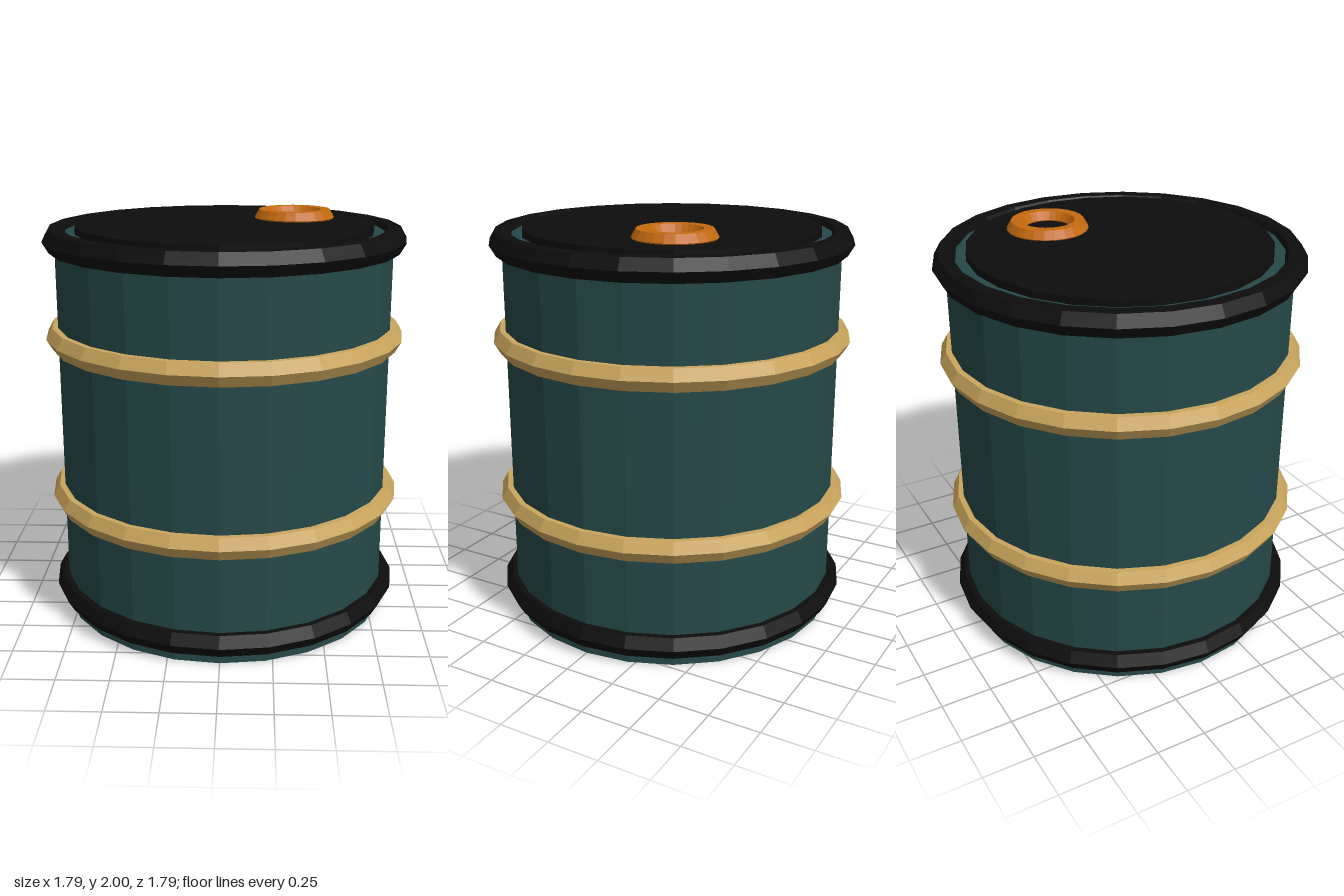
import * as THREE from 'three';

const material = (name, color) => {
  const m = new THREE.MeshStandardMaterial({ color });
  m.name = name;
  return m;
};

// Faceted geometry: one normal per face
const flat = (geometry) => {
  const g = geometry.toNonIndexed();
  g.computeVertexNormals();
  return g;
};

export function createModel() {
  const teal = material('teal paint', 0x264949);
  const black = material('black', 0x0d0d0d);
  const gold = material('gold', 0xc9a45c);
  const orange = material('orange', 0xc56a0e);

  const SIDES = 24;
  const RADIUS = 0.835;
  const group = new THREE.Group();
  group.name = 'barrel';

  const add = (name, geometry, mat, x, y, z) => {
    const mesh = new THREE.Mesh(flat(geometry), mat);
    mesh.name = name;
    mesh.position.set(x, y, z);
    group.add(mesh);
  };

  // Horizontal ring with a hexagonal cross-section
  const ring = (radius, tube) =>
    new THREE.TorusGeometry(radius, tube, 6, SIDES).rotateX(-Math.PI / 2);

  // Drum body and raised lid
  add('body', new THREE.CylinderGeometry(RADIUS, RADIUS, 1.92, SIDES), teal, 0, 0.96, 0);
  add('lid', new THREE.CylinderGeometry(0.735, 0.735, 0.045, SIDES), black, 0, 1.9325, 0);

  // Black end rims and gold hoops
  add('bottomRim', ring(RADIUS - 0.003, 0.063), black, 0, 0.105, 0);
  add('lowerHoop', ring(RADIUS - 0.003, 0.063), gold, 0, 0.6, 0);
  add('upperHoop', ring(RADIUS - 0.003, 0.063), gold, 0, 1.415, 0);
  add('topRim', ring(RADIUS - 0.003, 0.063), black, 0, 1.89, 0);

  // Filler ring on the lid
  add('fillerRing', ring(0.156, 0.046), orange, 0.35, 1.96, -0.215);

  return group;
}
